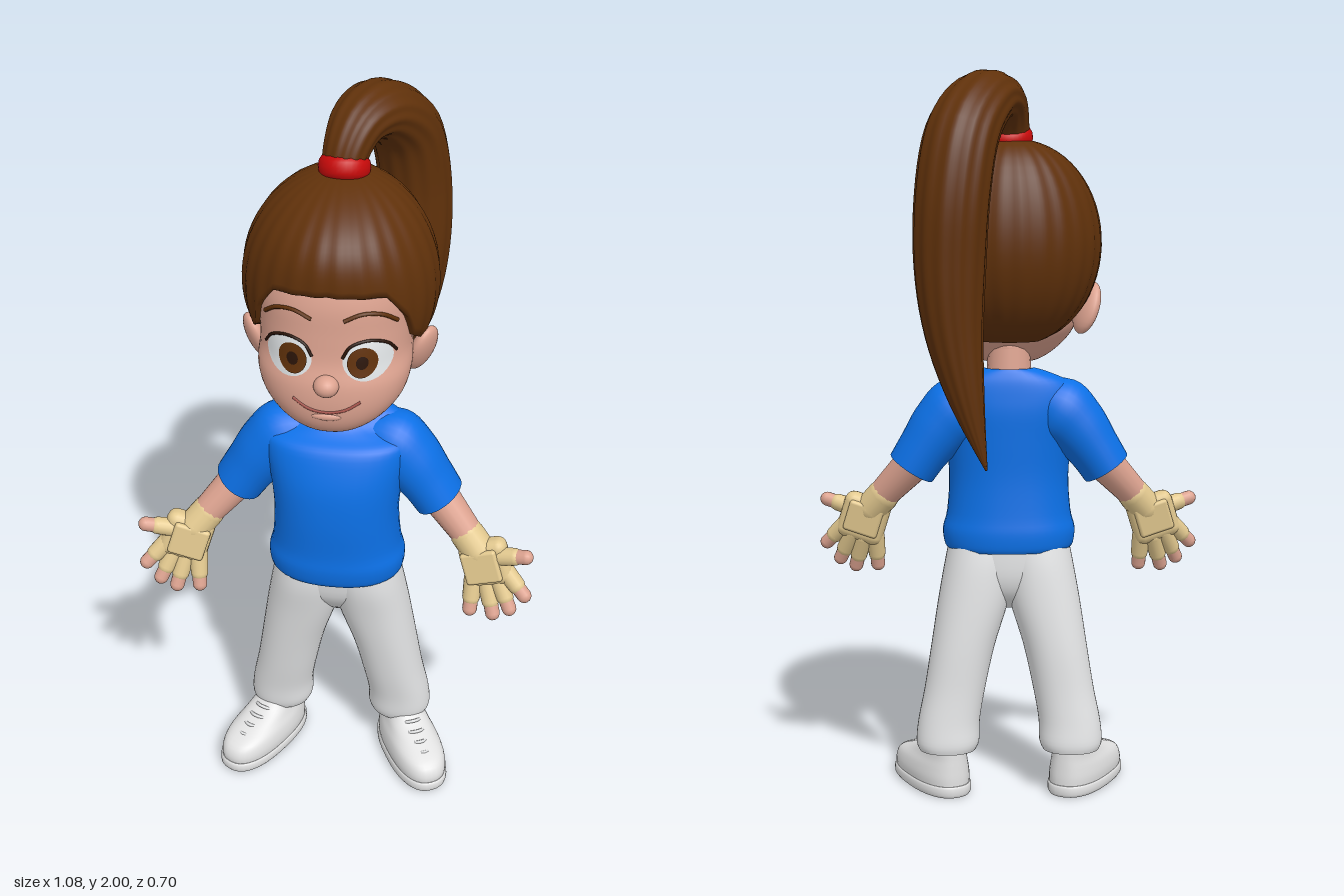
import * as THREE from 'three';
import { mergeGeometries } from 'three/addons/utils/BufferGeometryUtils.js';
import { RoundedBoxGeometry } from 'three/addons/geometries/RoundedBoxGeometry.js';

const V = (x, y, z) => new THREE.Vector3(x, y, z);
const mat = (name, color, side = THREE.FrontSide) => {
  const m = new THREE.MeshStandardMaterial({ color, side });
  m.name = name;
  return m;
};

// Smooth sample of a table of rows, t in 0..1
function sample(rows, t) {
  const f = t * (rows.length - 1), i = Math.min(Math.floor(f), rows.length - 2), u = f - i;
  const r = k => rows[Math.min(Math.max(k, 0), rows.length - 1)];
  return rows[0].map((_, c) => {
    const a = r(i - 1)[c], b = r(i)[c], d = r(i + 1)[c], e = r(i + 2)[c];
    return b + 0.5 * u * (d - a + u * (2 * a - 5 * b + 4 * d - e + u * (3 * (b - d) + e - a)));
  });
}

// Skin a stack of closed rings, optionally capped
function grid(rings, cap = true) {
  const n = rings[0].length;
  const centre = r => { const c = r.reduce((s, p) => s.add(p), V(0, 0, 0)).divideScalar(n); return r.map(() => c); };
  const last = rings[rings.length - 1];
  const rows = cap ? [centre(rings[0]), rings[0], ...rings, last, centre(last)] : rings;
  const index = [];
  for (let i = 0; i < rows.length - 1; i++) for (let j = 0; j < n; j++) {
    const a = i * n + j, b = i * n + (j + 1) % n;
    index.push(a, a + n, b, b, a + n, b + n);
  }
  const g = new THREE.BufferGeometry().setFromPoints(rows.flat());
  g.setIndex(index);
  g.computeVertexNormals();
  return g;
}

// Horizontal sections, rows [y, halfWidth, zBack, zFront, centreX]
function loft(rows, { n = 2, steps = 28, segs = 40, s = 1, warp = p => p } = {}) {
  const pw = v => Math.sign(v) * Math.abs(v) ** (2 / n);
  return grid(Array.from({ length: steps + 1 }, (_, i) => {
    const [y, w, zb, zf, cx = 0] = sample(rows, i / steps);
    return Array.from({ length: segs }, (_, j) => {
      const a = j / segs * Math.PI * 2;
      return warp(V(cx * s + w * pw(Math.cos(a)), y, (zb + zf) / 2 + (zf - zb) / 2 * pw(Math.sin(a))));
    });
  }));
}

// Sections along a path, rows [x, y, z, sideRadius, depthRadius]
function sweep(rows, side, { steps = 20, segs = 28, ridge = 0, ridges = 9 } = {}) {
  return grid(Array.from({ length: steps + 1 }, (_, i) => {
    const t = i / steps, [x, y, z, r1, r2] = sample(rows, t);
    const next = sample(rows, Math.min(t + 0.01, 1)), prev = sample(rows, Math.max(t - 0.01, 0));
    const T = V(next[0] - prev[0], next[1] - prev[1], next[2] - prev[2]).normalize();
    const L = side.clone().addScaledVector(T, -side.dot(T)).normalize(), N = L.clone().cross(T);
    return Array.from({ length: segs }, (_, j) => {
      const a = j / segs * Math.PI * 2, k = 1 + ridge * Math.cos(ridges * a + 2 * t);
      return V(x, y, z).addScaledVector(L, r1 * k * Math.cos(a)).addScaledVector(N, r2 * k * Math.sin(a));
    });
  }));
}

// Tapered round limb between two points
function limb(a, b, ra, rb) {
  const d = b.clone().sub(a), mid = a.clone().add(b).multiplyScalar(0.5);
  const cyl = new THREE.CylinderGeometry(rb, ra, d.length(), 16, 1, true);
  cyl.applyQuaternion(new THREE.Quaternion().setFromUnitVectors(V(0, 1, 0), d.clone().normalize()));
  cyl.translate(mid.x, mid.y, mid.z);
  const ball = (p, r) => new THREE.SphereGeometry(r, 16, 8).translate(p.x, p.y, p.z);
  return mergeGeometries([cyl, ball(a, ra), ball(b, rb)]);
}

const HEAD_N = 2.25;
const HEAD = [[1.212, 0.04, 0.16, 0.25], [1.225, 0.09, 0.1, 0.29], [1.26, 0.14, 0.06, 0.315], [1.31, 0.18, 0.02, 0.324],
  [1.37, 0.196, 0, 0.32], [1.43, 0.193, -0.04, 0.302], [1.5, 0.2, -0.08, 0.295], [1.58, 0.208, -0.1, 0.288],
  [1.65, 0.2, -0.1, 0.26], [1.72, 0.15, -0.07, 0.19]];

// Depth of the face surface at x, y
function faceZ(x, y) {
  let lo = 0, hi = 1;
  for (let i = 0; i < 20; i++) { const m = (lo + hi) / 2; if (sample(HEAD, m)[0] < y) lo = m; else hi = m; }
  const [, w, zb, zf] = sample(HEAD, lo);
  return (zb + zf) / 2 + (zf - zb) / 2 * (1 - Math.min(Math.abs(x) / w, 1) ** HEAD_N) ** (1 / HEAD_N);
}
// Oval plate that follows the face
function facePlate(cx, cy, rx, ry, off, bulge) {
  return grid(Array.from({ length: 7 }, (_, i) => Array.from({ length: 28 }, (_, j) => {
    const a = j / 28 * Math.PI * 2, r = i / 6, x = cx + rx * r * Math.cos(a), y = cy + ry * r * Math.sin(a);
    return V(x, y, faceZ(x, y) + off + bulge * (1 - r * r));
  })), false);
}
const faceLine = (pts, r, off = 0.003) => new THREE.TubeGeometry(
  new THREE.CatmullRomCurve3(pts.map(([x, y]) => V(x, y, faceZ(x, y) + off))), 20, r, 6);

// Hair cap: an oval shell, fuller above the brow, cut along a hairline that drops to the nape
function hairCap() {
  const line = [[0, 1.615], [0.6, 1.605], [0.85, 1.53], [1.0, 1.46], [1.25, 1.425], [1.5, 1.41], [1.75, 1.32], [2.1, 1.285], [3.2, 1.285]];
  const edge = d => {
    const i = line.findIndex((p, k) => k > 0 && d <= p[0]), [a, b] = [line[i - 1], line[i]];
    return a[1] + (b[1] - a[1]) * (d - a[0]) / (b[0] - a[0]);
  };
  const segs = 156, steps = 22;
  return grid(Array.from({ length: steps + 2 }, (_, i) => Array.from({ length: segs }, (_, j) => {
    const a = j / segs * Math.PI * 2, d = Math.abs(Math.atan2(Math.cos(a), Math.sin(a)));
    const lat0 = Math.asin((edge(d) - 1.55) / 0.28);
    const lat = lat0 + (Math.PI / 2 - lat0) * Math.max(i - 1, 0) / steps;
    const k = (i === 0 ? 0.86 : 1) * (1 + 0.008 * Math.cos(26 * a)) * Math.max(Math.cos(lat), 0) ** 0.92;
    const front = Math.max(0, Math.sin(a)), up = Math.max(0, Math.sin(lat));
    const rz = front > 0 ? 0.236 * (1 + 0.15 * front * Math.sin(2 * lat) ** 2 * Math.sign(up)) : 0.228;
    return V(0.25 * k * Math.cos(a), 1.55 + 0.28 * Math.sin(lat), 0.06 - 0.04 * up ** 3 + rz * k * Math.sin(a));
  })), false);
}

export function createModel() {
  const root = new THREE.Group();
  root.name = 'girl';
  const skin = mat('skin', 0xdda390), hair = mat('hair brown', 0x60310a, THREE.DoubleSide), blue = mat('shirt blue', 0x0c72ea),
    grey = mat('trouser grey', 0xe8e9ea), shoeGrey = mat('shoe grey', 0xe2e2e2), tan = mat('glove tan', 0xe4ca90),
    red = mat('tie red', 0xc80a0a), white = mat('eye white', 0xe6eaec), lip = mat('lip', 0xa8564e), dark = mat('lash dark', 0x2a1408);
  const add = (name, geo, m, parent = root) => {
    const mesh = new THREE.Mesh(geo, m);
    mesh.name = name;
    parent.add(mesh);
    return mesh;
  };
  const ball = (name, m, [x, y, z], [a, b, c]) => {
    const o = add(name, new THREE.SphereGeometry(1, 24, 14), m);
    o.position.set(x, y, z);
    o.scale.set(a, b, c);
    return o;
  };

  // Head and face
  add('head', loft(HEAD, { n: HEAD_N, steps: 45, segs: 56 }), skin);
  add('neck', limb(V(0, 1.14, 0.1), V(0, 1.26, 0.105), 0.066, 0.058), skin);
  ball('nose', skin, [0, 1.378, 0.318], [0.032, 0.028, 0.032]);
  add('mouth', faceLine([[-0.085, 1.335], [-0.045, 1.312], [0, 1.304], [0.045, 1.312], [0.085, 1.335]], 0.004, 0), lip);
  ball('lowerLip', skin, [0, 1.289, 0.316], [0.04, 0.012, 0.012]);

  // Hair, tie and ponytail
  add('hairCap', hairCap(), hair);
  const tie = add('hairTie', new THREE.TorusGeometry(0.048, 0.018, 12, 32), red);
  tie.position.set(0.003, 1.832, 0.022);
  tie.rotation.x = Math.PI / 2 - 0.36;
  tie.scale.z = 1.6;
  add('ponytail', sweep([[0, 1.79, 0.03, 0.05, 0.05], [0.005, 1.865, 0.012, 0.058, 0.055], [0.03, 1.925, -0.045, 0.075, 0.063],
    [0.075, 1.922, -0.13, 0.09, 0.075], [0.125, 1.835, -0.22, 0.098, 0.086], [0.15, 1.68, -0.258, 0.098, 0.09],
    [0.157, 1.5, -0.258, 0.092, 0.09], [0.147, 1.33, -0.262, 0.075, 0.075], [0.115, 1.16, -0.275, 0.046, 0.045],
    [0.065, 0.98, -0.29, 0.003, 0.003]], V(0.87, 0, 0.5), { steps: 45, segs: 78, ridge: 0.022, ridges: 13 }), hair);

  // Shirt body with the collar dipping at the front
  const ss = THREE.MathUtils.smoothstep;
  add('shirt', loft([[0.695, 0.172, 0.012, 0.257], [0.71, 0.182, 0.006, 0.266], [0.75, 0.186, 0.004, 0.272], [0.8, 0.174, 0.01, 0.27],
    [0.9, 0.168, 0.016, 0.274], [1.0, 0.178, 0.014, 0.268], [1.08, 0.195, 0.012, 0.246], [1.13, 0.195, 0.016, 0.222],
    [1.17, 0.165, 0.022, 0.194], [1.195, 0.11, 0.03, 0.172], [1.207, 0.07, 0.036, 0.165]],
  { n: 2.25, steps: 40, warp: p => { p.y -= 0.045 * ss(p.y, 1.1, 1.2) * ss(p.z, 0.09, 0.16); return p; } }), blue);
  add('hips', loft([[0.525, 0.02, 0.09, 0.14], [0.57, 0.08, 0.045, 0.185], [0.63, 0.15, 0.025, 0.222], [0.72, 0.168, 0.024, 0.238]],
    { n: 2.25, steps: 12 }), grey);

  for (const s of [1, -1]) {
    const side = s > 0 ? 'left' : 'right', P = (x, y, z) => V(s * x, y, z);
    const name = part => side + part;

    // Eye, brow and ear
    add(name('Eye'), facePlate(s * 0.098, 1.441, 0.06, 0.051, 0.002, 0.007), white);
    add(name('Iris'), facePlate(s * 0.087, 1.44, 0.037, 0.039, 0.008, 0.003), hair);
    add(name('Pupil'), facePlate(s * 0.087, 1.44, 0.015, 0.017, 0.0115, 0.001), dark);
    add(name('Lashes'), faceLine([[0.164, 1.448], [0.145, 1.477], [0.098, 1.494], [0.056, 1.48], [0.038, 1.45]].map(([x, y]) => [s * x, y]), 0.004), dark);
    add(name('Brow'), faceLine([[0.165, 1.53], [0.13, 1.56], [0.085, 1.567], [0.04, 1.55]].map(([x, y]) => [s * x, y]), 0.0055), hair);
    const ear = ball(name('Ear'), skin, [s * 0.214, 1.372, 0.09], [0.026, 0.076, 0.05]);
    ear.rotation.set(0.15, -s * 0.55, -s * 0.3);

    // Sleeve and forearm
    add(name('Sleeve'), sweep([[s * 0.06, 1.125, 0.1, 0.05, 0.04], [s * 0.13, 1.092, 0.102, 0.085, 0.094], [s * 0.185, 1.045, 0.104, 0.087, 0.088],
      [s * 0.235, 0.98, 0.105, 0.083, 0.075], [s * 0.272, 0.924, 0.107, 0.081, 0.07]], V(0, 0, 1)), blue);
    add(name('Forearm'), limb(P(0.255, 0.95, 0.107), P(0.36, 0.835, 0.157), 0.054, 0.042), skin);

    // Gloved hand, palm forward, thumb outward
    add(name('Cuff'), limb(P(0.355, 0.838, 0.154), P(0.388, 0.8, 0.17), 0.046, 0.046), tan);
    const block = (part, w, h, d, r, x, y, z) => {
      const o = add(name(part), new RoundedBoxGeometry(w, h, d, 2, r), tan);
      o.position.set(s * x, y, z);
      o.rotation.set(-0.12, -s * 0.12, s * 0.3);
    };
    block('Palm', 0.135, 0.135, 0.06, 0.026, 0.412, 0.768, 0.178);
    block('PalmPad', 0.1, 0.095, 0.02, 0.009, 0.4, 0.77, 0.21);
    block('BackPad', 0.1, 0.09, 0.02, 0.009, 0.412, 0.77, 0.146);
    const fingers = [['Thumb', [0.435, 0.795, 0.185], [0.518, 0.818, 0.21]], ['Index', [0.46, 0.755, 0.185], [0.52, 0.692, 0.215]],
      ['Middle', [0.445, 0.725, 0.185], [0.482, 0.645, 0.218]], ['Ring', [0.415, 0.71, 0.185], [0.438, 0.624, 0.218]],
      ['Little', [0.38, 0.715, 0.185], [0.375, 0.628, 0.212]]];
    for (const [f, a, b] of fingers) {
      const A = P(...a), B = P(...b), mid = A.clone().lerp(B, 0.62);
      add(name(f), limb(A, mid, 0.026, 0.024), tan);
      add(name(f + 'Tip'), limb(mid, B, 0.02, 0.02), skin);
    }

    // Trouser leg
    add(name('Leg'), loft([[0.125, 0.08, -0.008, 0.14, 0.175], [0.15, 0.089, -0.012, 0.148, 0.174], [0.21, 0.087, -0.006, 0.155, 0.17],
      [0.3, 0.086, 0, 0.172, 0.153], [0.42, 0.09, 0.002, 0.193, 0.13], [0.55, 0.1, 0.008, 0.216, 0.1],
      [0.65, 0.098, 0.016, 0.235, 0.084], [0.72, 0.09, 0.028, 0.238, 0.078]], { s, n: 2.2 }), grey);

    // Shoe with sole and laces, toe turned out
    const shoe = new THREE.Group();
    shoe.name = name('Shoe');
    shoe.position.set(s * 0.178, 0, 0.062);
    shoe.rotation.y = s * 0.48;
    root.add(shoe);
    add(name('Upper'), loft([[0.02, 0.074, -0.07, 0.253], [0.05, 0.077, -0.07, 0.255], [0.08, 0.072, -0.068, 0.235],
      [0.105, 0.062, -0.066, 0.17], [0.13, 0.055, -0.064, 0.105], [0.16, 0.049, -0.058, 0.07]], { n: 2.4, steps: 20 }), shoeGrey, shoe);
    add(name('Sole'), loft([[0, 0.074, -0.072, 0.255], [0.008, 0.08, -0.076, 0.261], [0.026, 0.08, -0.076, 0.261], [0.032, 0.076, -0.072, 0.256]],
      { n: 2.4, steps: 6 }), shoeGrey, shoe);
    for (let i = 0; i < 4; i++) {
      const y = 0.137 - i * 0.014, z = 0.1 + i * 0.03, w = 0.032;
      const lace = new THREE.CatmullRomCurve3([V(-w, y - 0.012, z - 0.012), V(0, y, z + 0.004), V(w, y - 0.012, z - 0.012)]);
      add(name('Lace'), new THREE.TubeGeometry(lace, 8, 0.005, 6), grey, shoe);
    }
  }
  return root;
}
